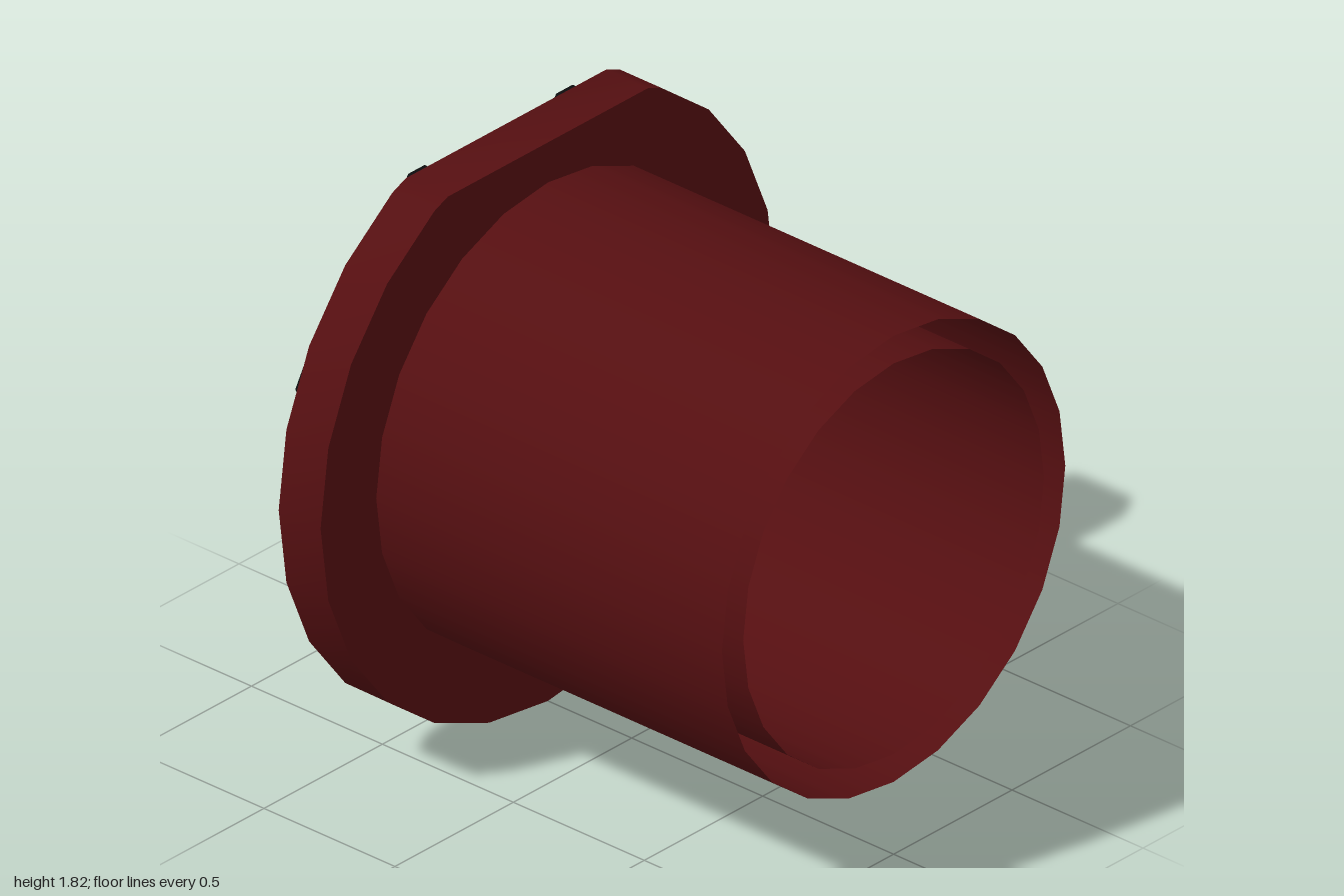
import * as THREE from 'three';
import { toCreasedNormals } from 'three/addons/utils/BufferGeometryUtils.js';

const CY = 0.96; // height of the pipe axis
const SIDES = 24;

export function createModel() {
  const group = new THREE.Group();
  group.name = 'flangedPipe';

  const red = new THREE.MeshStandardMaterial({ name: 'dark red', color: 0x550f11, side: THREE.DoubleSide });
  const green = new THREE.MeshStandardMaterial({ name: 'dark green', color: 0x304a10 });
  const black = new THREE.MeshStandardMaterial({ name: 'black', color: 0x0c0c0d });

  const add = (name, geometry, material) => {
    const mesh = new THREE.Mesh(geometry, material);
    mesh.name = name;
    group.add(mesh);
    return mesh;
  };

  const ringPoints = (radius, top = Infinity) => {
    // regular polygon, with the part above "top" cut off flat
    const full = [];
    for (let i = 0; i < SIDES; i++) {
      const a = (i / SIDES) * Math.PI * 2;
      full.push(new THREE.Vector2(Math.cos(a) * radius, CY + Math.sin(a) * radius));
    }
    const points = [];
    full.forEach((p, i) => {
      const q = full[(i + 1) % SIDES];
      if (p.y <= top) points.push(p);
      if ((p.y <= top) !== (q.y <= top)) points.push(p.clone().lerp(q, (top - p.y) / (q.y - p.y)));
    });
    return points;
  };

  // Flange: bored disc with a flat on top
  const flangeShape = new THREE.Shape(ringPoints(0.96, 1.815));
  flangeShape.holes.push(new THREE.Path(ringPoints(0.635)));
  const flange = new THREE.ExtrudeGeometry(flangeShape, { depth: 0.16, bevelEnabled: false });
  flange.rotateY(Math.PI / 2).translate(-0.48, 0, 0);
  add('flange', toCreasedNormals(flange, 0.4), red);

  // Pipe: outer and inner walls, open at the far end
  for (const [name, radius] of [['pipeOuterWall', 0.725], ['pipeInnerWall', 0.635]]) {
    const wall = new THREE.CylinderGeometry(radius, radius, 1.32, SIDES, 1, true);
    wall.rotateZ(Math.PI / 2).translate(0.34, CY, 0);
    add(name, wall, red);
  }

  // Hexagonal bolt heads around the flange
  const boltGeometry = new THREE.CylinderGeometry(0.07, 0.07, 0.06, 6).rotateZ(Math.PI / 2);
  const bolt = toCreasedNormals(boltGeometry, 0.4);
  for (let i = 0; i < 8; i++) {
    const a = ((i + 0.5) / 8) * Math.PI * 2;
    add('bolt', bolt, black).position.set(-0.51, CY + Math.sin(a) * 0.816, Math.cos(a) * 0.816);
  }

  // Stepped block in the mouth of the pipe
  const profile = [
    [-1, 0.605], [-0.515, 0.605], [-0.515, 0.755], [-0.29, 0.755],
    [-0.29, 1.17], [-0.93, 1.17], [-0.93, 1.025], [-1, 1.025],
  ].map(([x, y]) => new THREE.Vector2(x, y));
  const block = new THREE.ExtrudeGeometry(new THREE.Shape(profile), { depth: 0.42, bevelEnabled: false });
  add('steppedBlock', block.translate(0, 0, -0.21), green);

  return group;
}
